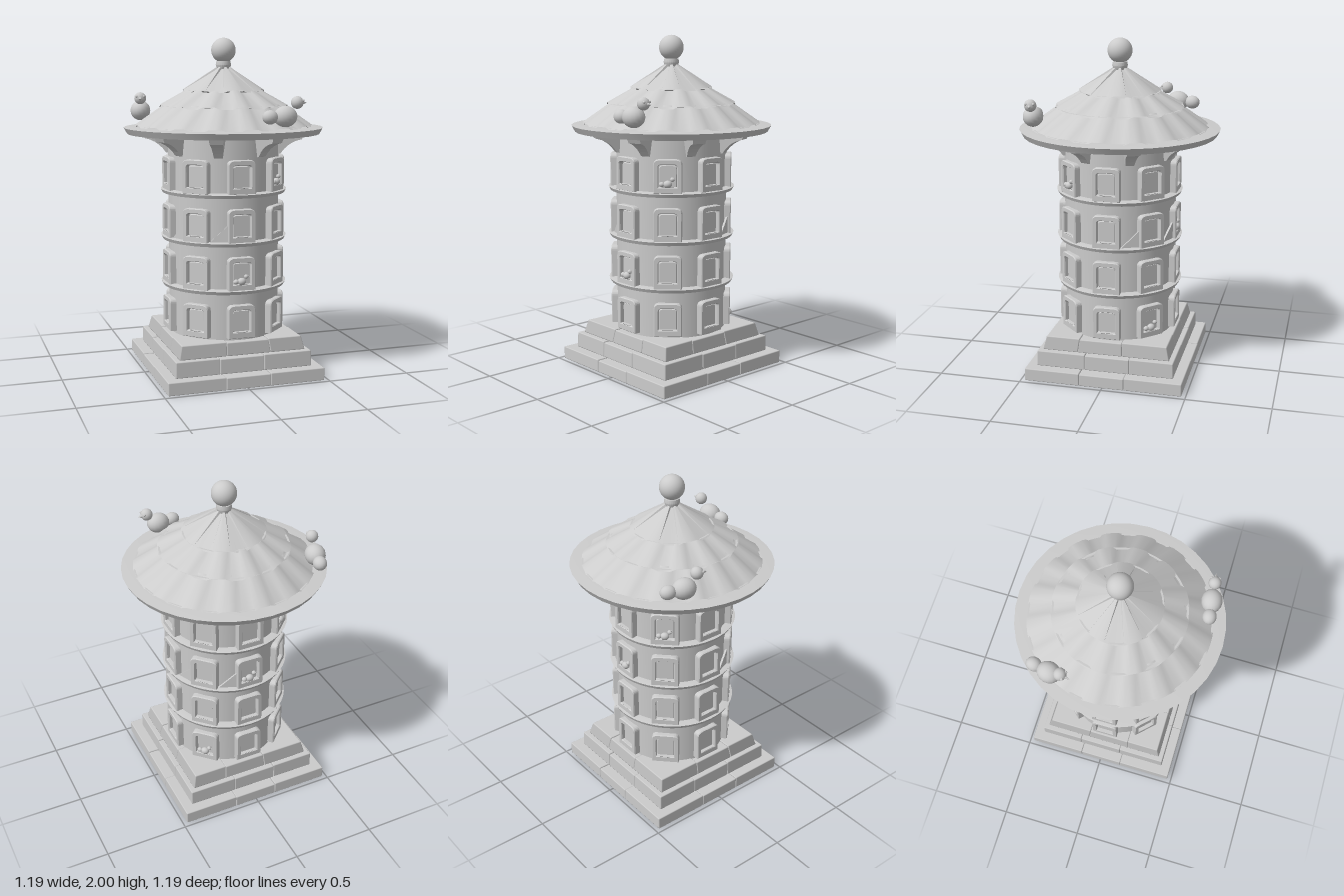
import * as THREE from 'three';
import { RoundedBoxGeometry } from 'three/addons/geometries/RoundedBoxGeometry.js';
import { toCreasedNormals } from 'three/addons/utils/BufferGeometryUtils.js';

const mat = new THREE.MeshStandardMaterial({ color: 0xcccccc });
const thinMat = new THREE.MeshStandardMaterial({ color: 0xcccccc, side: THREE.DoubleSide });

function add(parent, name, geometry, x = 0, y = 0, z = 0, material = mat) {
  const mesh = new THREE.Mesh(geometry, material);
  mesh.name = name;
  mesh.position.set(x, y, z);
  parent.add(mesh);
  return mesh;
}

const lathe = (pts, seg = 48) =>
  toCreasedNormals(new THREE.LatheGeometry(pts.map(p => new THREE.Vector2(...p)), seg), 0.6);

// Pivot turned about the tower axis: local +z points outwards
function spoke(parent, name, degrees, y = 0) {
  const g = new THREE.Group();
  g.name = name;
  g.rotation.y = THREE.MathUtils.degToRad(degrees);
  g.position.y = y;
  parent.add(g);
  return g;
}

// Square step of nine stones, drawn in towards the top by a taper factor
function step(parent, name, half, y0, y1, shift, taper) {
  const cuts = [-half, -0.13 + shift, 0.14 + shift, half];
  const g = new THREE.Group();
  g.name = name;
  for (let i = 0; i < 3; i++) for (let j = 0; j < 3; j++) {
    const w = cuts[i + 1] - cuts[i], d = cuts[j + 1] - cuts[j];
    const x = (cuts[i] + cuts[i + 1]) / 2, z = (cuts[j] + cuts[j + 1]) / 2;
    const drop = (i + j) % 2 ? 0.004 : 0;
    const geo = new RoundedBoxGeometry(w, y1 - y0 - drop, d, 1, 0.006);
    geo.translate(x, (y0 + y1 - drop) / 2, z);
    const p = geo.attributes.position;
    for (let k = 0; k < p.count; k++) {
      const s = 1 - (1 - taper) * (p.getY(k) - y0) / (y1 - y0);
      p.setX(k, p.getX(k) * s);
      p.setZ(k, p.getZ(k) * s);
    }
    add(g, 'stone', geo);
  }
  parent.add(g);
}

// Arch outline with its foot at y = 0
function arch(Type, w, h, y0 = 0) {
  const s = new Type(), c = w * 0.33;
  s.moveTo(-w, y0);
  s.lineTo(w, y0);
  s.lineTo(w, h - c);
  s.quadraticCurveTo(w, h, w - c * 1.4, h);
  s.lineTo(-w + c * 1.4, h);
  s.quadraticCurveTo(-w, h, -w, h - c);
  s.closePath();
  return s;
}

function windowGeometries() {
  const frame = arch(THREE.Shape, 0.078, 0.19);
  frame.holes.push(arch(THREE.Path, 0.058, 0.168, 0.03));
  const bevel = { bevelEnabled: true, bevelSize: 0.004, bevelThickness: 0.006, bevelSegments: 1, curveSegments: 6 };
  return {
    frame: new THREE.ExtrudeGeometry(frame, { depth: 0.046, ...bevel }),
    pane: new THREE.ExtrudeGeometry(arch(THREE.Shape, 0.048, 0.155, 0.035),
      { depth: 0.02, ...bevel }),
    sill: new THREE.CylinderGeometry(0.05, 0.02, 0.03, 4, 1).rotateY(Math.PI / 4),
  };
}

// Roof tier: cone whose surface swells into ribs running down the slope
function roofTier(bottomR, topR, height, ribs) {
  const geo = new THREE.CylinderGeometry(topR, bottomR, height, ribs * 6, 1, true);
  const p = geo.attributes.position;
  for (let i = 0; i < p.count; i++) {
    const x = p.getX(i), z = p.getZ(i);
    const wave = Math.cos(Math.atan2(x, z) * ribs);
    const lift = THREE.MathUtils.clamp(wave * 2, -1, 1) * 0.007;
    p.setY(i, p.getY(i) + lift);
  }
  geo.computeVertexNormals();
  return toCreasedNormals(geo, 0.7);
}

// Bird facing local +x, sitting on y = 0
function bird(parent, x, y, z, turn, size = 1) {
  const g = new THREE.Group();
  g.name = 'bird';
  g.position.set(x, y, z);
  g.rotation.y = turn;
  g.scale.setScalar(size);
  const ball = (name, r, px, py, pz, sx = 1) =>
    add(g, name, new THREE.SphereGeometry(r, 16, 12), px, py, pz).scale.set(sx, 1, 1);
  ball('body', 0.06, 0, 0.06, 0, 1.15);
  ball('head', 0.036, 0.075, 0.137, 0);
  ball('tail', 0.04, -0.095, 0.058, 0, 1.15);
  const beak = add(g, 'beak', new THREE.ConeGeometry(0.012, 0.032, 8), 0.12, 0.135, 0);
  beak.rotation.z = -Math.PI / 2;
  for (const s of [-1, 1]) ball('eye', 0.008, 0.1, 0.148, s * 0.022);
  parent.add(g);
}

export function createModel() {
  const model = new THREE.Group();
  model.name = 'tower';

  // Stepped stone base
  step(model, 'lowerStep', 0.475, 0, 0.077, 0, 1);
  step(model, 'middleStep', 0.415, 0.077, 0.172, -0.02, 0.995);
  step(model, 'upperStep', 0.385, 0.172, 0.252, 0.03, 0.95);

  // Round wall
  add(model, 'wall', lathe([[0, 0.24], [0.33, 0.24], [0.332, 1.45], [0, 1.45]]));

  // Ledges between the floors
  for (const y of [0.54, 0.82, 1.1]) {
    add(model, 'ledge', lathe([[0.32, y - 0.012], [0.368, y - 0.012], [0.378, y + 0.008],
      [0.345, y + 0.014], [0.32, y + 0.014]]));
  }

  // Four floors of eight arched windows
  const floors = [0.268, 0.55, 0.83, 1.112];
  const parts = windowGeometries();
  for (const y of floors) for (let i = 0; i < 8; i++) {
    const w = spoke(model, 'window', i * 45, y);
    add(w, 'frame', parts.frame, 0, 0, 0.308);
    add(w, 'pane', parts.pane, 0, 0, 0.312);
    add(w, 'sill', parts.sill, 0, 0.02, 0.325);
  }

  // Small birds on some of the sills
  for (const [floor, degrees] of [[0, 135], [1, 0], [2, 180], [3, 45], [3, 225]]) {
    bird(spoke(model, 'sillBird', degrees, floors[floor]), 0, 0.03, 0.35, 0, 0.36);
  }

  // Slanted boards leaning on the third floor
  const board = new THREE.Shape([[-0.06, 0], [0.055, 0], [0.055, 0.11], [0.035, 0.09]]
    .map(p => new THREE.Vector2(...p)));
  const boardGeo = new THREE.ExtrudeGeometry(board, { depth: 0.012, bevelEnabled: false });
  for (const a of [-22, -67, 113, 158]) {
    add(spoke(model, 'board', a, 0.825), 'boardPanel', boardGeo, 0, 0, 0.335);
  }

  // Brackets under the eaves
  const side = new THREE.Shape();
  side.moveTo(0.3, 1.31);
  side.lineTo(0.345, 1.32);
  side.quadraticCurveTo(0.39, 1.39, 0.47, 1.405);
  side.lineTo(0.49, 1.45);
  side.lineTo(0.3, 1.45);
  const bracketGeo = new THREE.ExtrudeGeometry(side, { depth: 0.08, bevelEnabled: false, curveSegments: 5 });
  bracketGeo.translate(0, 0, -0.04).rotateY(-Math.PI / 2);
  const bp = bracketGeo.attributes.position;
  for (let i = 0; i < bp.count; i++) bp.setX(i, bp.getX(i) * (0.6 + (bp.getY(i) - 1.31) * 3.5));
  bracketGeo.computeVertexNormals();
  for (let i = 0; i < 8; i++) add(spoke(model, 'bracket', 22.5 + i * 45), 'bracketArm', bracketGeo);

  // Brim and three ribbed roof tiers
  add(model, 'brim', lathe([[0, 1.44], [0.575, 1.438], [0.595, 1.474], [0.52, 1.48], [0, 1.48]], 36));
  for (const [r0, r1, y0, y1, ribs] of [
    [0.525, 0.35, 1.483, 1.605, 16], [0.382, 0.22, 1.6, 1.69, 12], [0.243, 0.035, 1.69, 1.825, 7]]) {
    add(model, 'roofTier', roofTier(r0, r1, y1 - y0, ribs), 0, (y0 + y1) / 2, 0, thinMat);
    const under = new THREE.CircleGeometry(r0 - 0.004, 48).rotateX(Math.PI / 2);
    add(model, 'tierUnderside', under, 0, y0 + 0.002, 0, thinMat);
  }

  // Finial
  add(model, 'finialNeck', lathe([[0, 1.815], [0.036, 1.815], [0.046, 1.84], [0.042, 1.862], [0, 1.87]], 24));
  add(model, 'finialBall', new THREE.SphereGeometry(0.073, 32, 20), 0, 1.927, 0);

  // Two birds on the roof edge
  bird(model, 0.215, 1.497, 0.468, 0.12);
  bird(model, -0.445, 1.505, -0.27, -1.8);
  return model;
}
